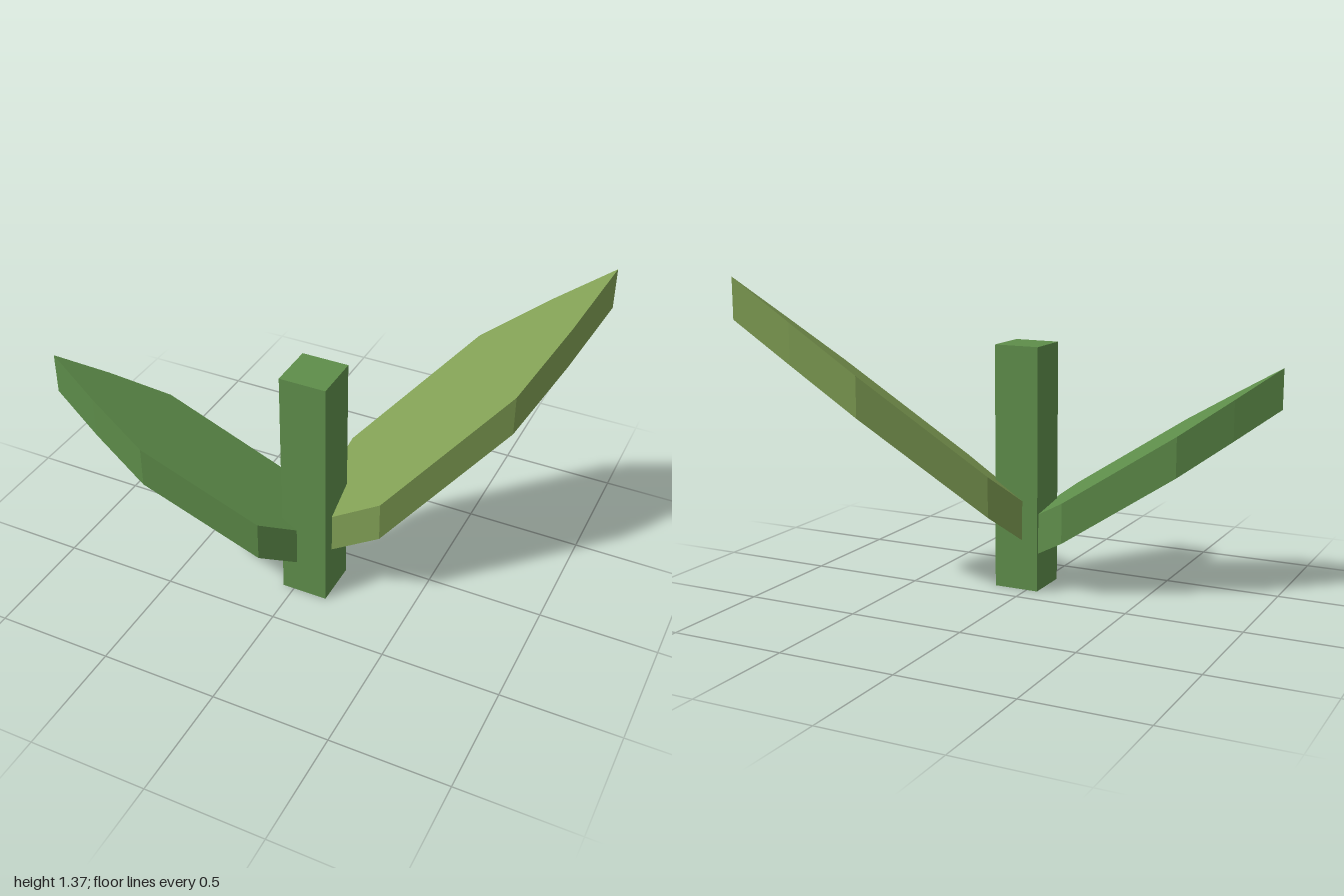
import * as THREE from 'three';

const THICKNESS = 0.174;

// Upright-edged leaf slab running from base to tip; heights are of its underside
function leaf(name, base, tip, halfWidth, material) {
  const dx = tip[0] - base[0], dz = tip[2] - base[2];
  const length = Math.hypot(dx, dz);
  const slope = (tip[1] - base[1]) / length;

  // Pointed outline: fraction along the leaf, fraction of the half width
  const side = [[0.226, 1], [0.64, 1], [0.834, 0.505]];
  const outline = [
    [0, 0],
    ...side.map(([t, w]) => [t, -w]),
    [1, 0],
    ...side.slice().reverse(),
  ].map(([t, w]) => new THREE.Vector2(t * length, w * halfWidth));

  const geometry = new THREE.ExtrudeGeometry(new THREE.Shape(outline), {
    depth: THICKNESS, bevelEnabled: false,
  });
  geometry.rotateX(-Math.PI / 2);

  // Shear upward so the leaf climbs while its edges stay vertical
  const p = geometry.attributes.position;
  for (let i = 0; i < p.count; i++) p.setY(i, p.getY(i) + p.getX(i) * slope);
  geometry.rotateY(Math.atan2(-dz, dx));
  geometry.computeVertexNormals();

  const mesh = new THREE.Mesh(geometry, material);
  mesh.name = name;
  mesh.position.set(...base);
  return mesh;
}

export function createModel() {
  const group = new THREE.Group();
  group.name = 'sprout';

  const green = new THREE.MeshStandardMaterial({ color: 0x5e8d4a, flatShading: true });
  green.name = 'stem green';
  const lightGreen = new THREE.MeshStandardMaterial({ color: 0x809e54, flatShading: true });
  lightGreen.name = 'light leaf green';

  // Square stem
  const stem = new THREE.Mesh(new THREE.BoxGeometry(0.2, 1.062, 0.204), green);
  stem.name = 'stem';
  stem.position.set(0.05, 0.531, 0.204);
  group.add(stem);

  // Two leaves rooted inside the stem
  group.add(leaf('leftLeaf', [-0.011, 0.126, 0.245], [1, 1.191, -0.56], 0.235, lightGreen));
  group.add(leaf('rightLeaf', [0.113, 0.076, 0.186], [-1, 0.816, 0.457], 0.201, green));

  return group;
}
